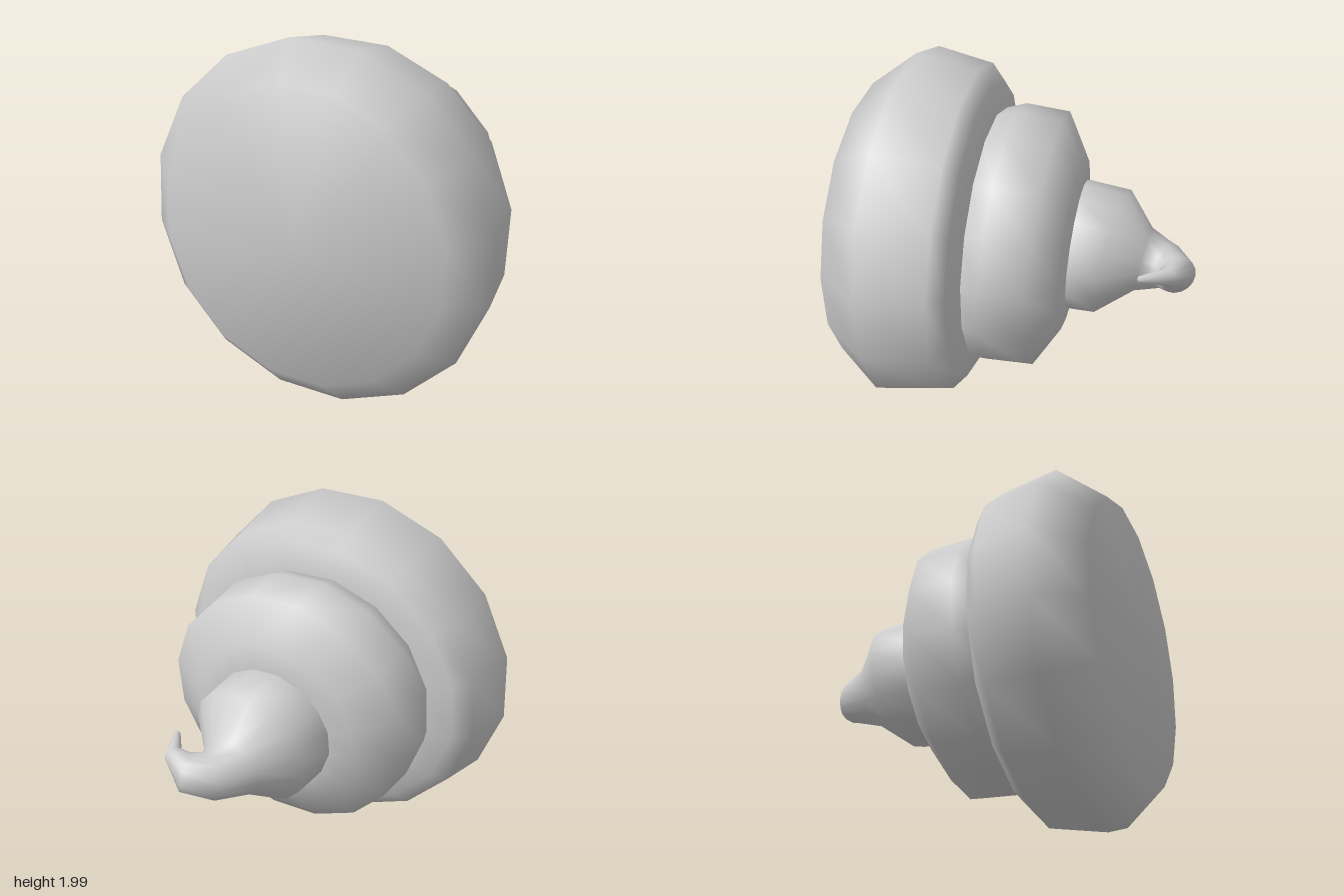
import * as THREE from 'three';
import { mergeVertices } from 'three/addons/utils/BufferGeometryUtils.js';

const SIDES = 16;
const PHASE = THREE.MathUtils.degToRad(8);
const UP = new THREE.Vector3(0, 1, 0);

// Skin a row of circular rings [x, y, z, radius, axis], ordered from base to tip.
function loft(rings) {
  const pos = [], idx = [];
  for (const [x, y, z, r, axis] of rings) {
    const n = new THREE.Vector3(...axis).normalize();
    const u = new THREE.Vector3().crossVectors(n, UP).normalize();
    const v = new THREE.Vector3().crossVectors(u, n);
    for (let j = 0; j < SIDES; j++) {
      const a = PHASE + (j / SIDES) * Math.PI * 2;
      const p = new THREE.Vector3(x, y, z)
        .addScaledVector(u, r * Math.cos(a))
        .addScaledVector(v, r * Math.sin(a));
      pos.push(p.x, p.y, p.z);
    }
  }
  for (let i = 0; i < rings.length - 1; i++) {
    for (let j = 0; j < SIDES; j++) {
      const k = (j + 1) % SIDES;
      const a = i * SIDES + j, b = a + SIDES, c = i * SIDES + k, d = c + SIDES;
      if (rings[i][3] > 0) idx.push(a, b, c);
      if (rings[i + 1][3] > 0) idx.push(c, b, d);
    }
  }
  let geo = new THREE.BufferGeometry();
  geo.setAttribute('position', new THREE.Float32BufferAttribute(pos, 3));
  geo.setIndex(idx);
  geo = mergeVertices(geo, 1e-5);
  geo.computeVertexNormals();
  return geo;
}

export function createModel() {
  const group = new THREE.Group();
  const grey = new THREE.MeshStandardMaterial({ color: 0xcccccc });
  grey.name = 'light grey';
  grey.side = THREE.DoubleSide;

  const add = (name, rings) => {
    const mesh = new THREE.Mesh(loft(rings), grey);
    mesh.name = name;
    group.add(mesh);
  };

  const flat = [0, 0, -1];
  const lean1 = [-0.035, -0.016, -1];
  const lean2 = [-0.045, -0.045, -1];

  // Wide bottom coil with a shallow domed underside
  add('bottomCoil', [
    [0.03, 1.0, 0.965, 0, flat],
    [0.035, 1.015, 0.89, 0.807, flat],
    [0, 1, 0.65, 1.005, flat],
    [0, 1, 0.315, 0.945, lean1],
    [0, 1, 0.24, 0.855, lean1],
    [0, 1, 0.195, 0.68, lean1],
    [0, 1, 0.2, 0.5, lean1],
  ]);

  // Middle coil, leaning slightly
  add('middleCoil', [
    [-0.01, 1, 0.32, 0.6, lean2],
    [-0.01, 1, 0.225, 0.7, lean2],
    [-0.005, 1, 0.105, 0.742, lean2],
    [-0.01, 0.995, -0.145, 0.728, lean2],
    [-0.02, 0.985, -0.275, 0.5, lean2],
    [-0.02, 0.98, -0.3, 0.35, lean2],
    [-0.02, 0.98, -0.29, 0.25, lean2],
  ]);

  // Top swirl narrowing into a curled hook
  add('topSwirl', [
    [-0.02, 0.98, -0.2, 0.35, lean2],
    [-0.02, 0.98, -0.31, 0.37, lean2],
    [-0.015, 0.97, -0.5, 0.362, [0.07, -0.15, -1]],
    [-0.02, 0.945, -0.675, 0.185, [0.05, -0.15, -1]],
    [0.025, 0.955, -0.815, 0.13, [0.5, 0.1, -0.87]],
    [0.135, 0.985, -0.885, 0.108, [0.87, 0.2, -0.4]],
    [0.232, 1.035, -0.848, 0.05, [0.85, 0.2, 0.4]],
    [0.315, 1.05, -0.705, 0.018, [0.45, 0, 0.9]],
    [0.32, 1.05, -0.695, 0, [0.45, 0, 0.9]],
  ]);

  return group;
}
